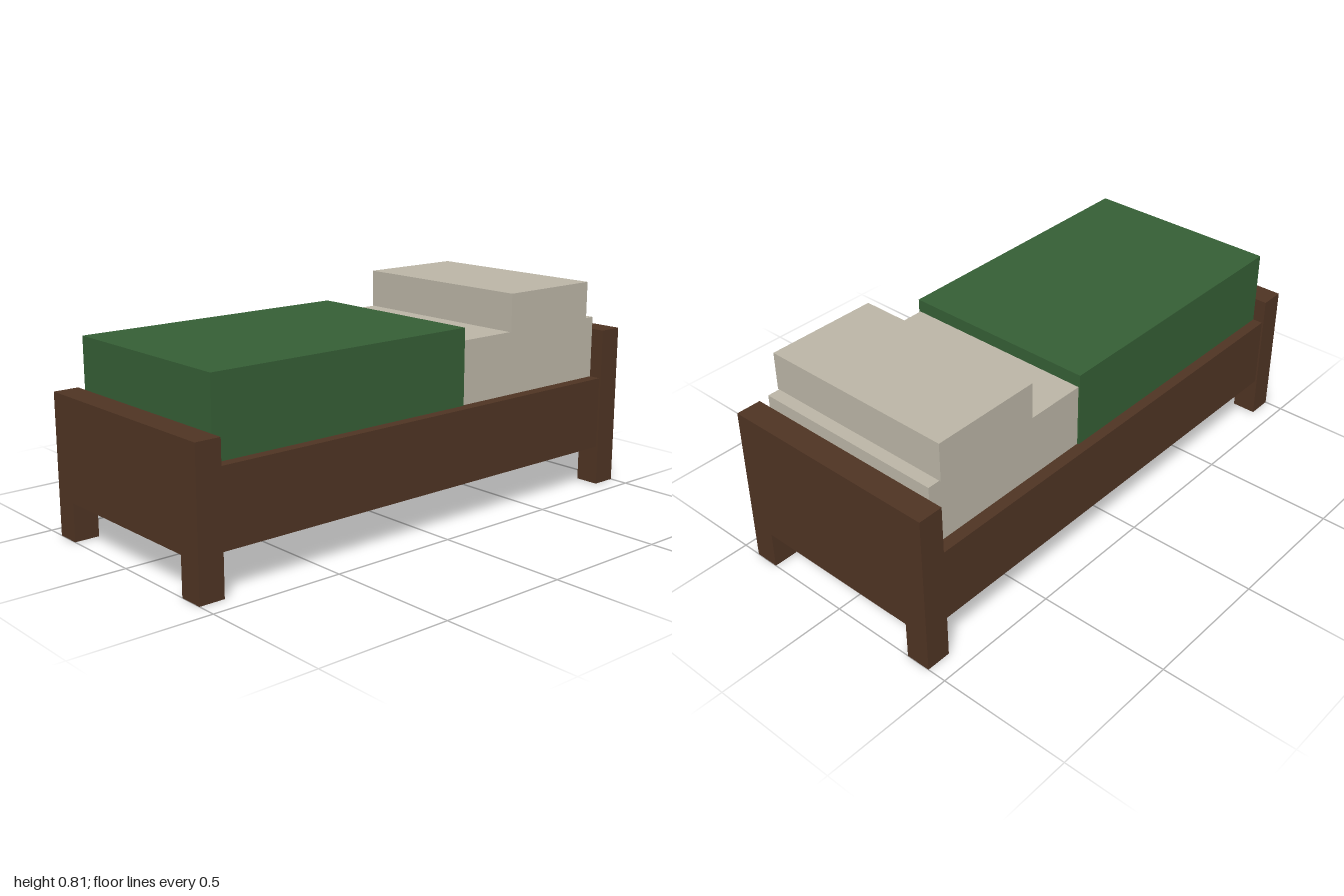
import * as THREE from 'three';

const wood = new THREE.MeshStandardMaterial({ name: 'dark wood', color: 0x4f3423 });
const green = new THREE.MeshStandardMaterial({ name: 'green blanket', color: 0x355e35 });
const linen = new THREE.MeshStandardMaterial({ name: 'linen', color: 0xbbb5a6 });

// Box given by half width, bottom and top, back and front
function box(name, material, halfWidth, y0, y1, z0, z1) {
  const mesh = new THREE.Mesh(new THREE.BoxGeometry(halfWidth * 2, y1 - y0, z1 - z0), material);
  mesh.position.set(0, (y0 + y1) / 2, (z0 + z1) / 2);
  mesh.name = name;
  return mesh;
}

// End board with two feet, cut from one outline
function endBoard(name, height, z0) {
  const w = 0.427, inner = 0.333, arch = 0.143;
  const outline = new THREE.Shape([
    [-w, 0], [-inner, 0], [-inner, arch], [inner, arch],
    [inner, 0], [w, 0], [w, height], [-w, height],
  ].map(([x, y]) => new THREE.Vector2(x, y)));
  const geometry = new THREE.ExtrudeGeometry(outline, { depth: 0.095, bevelEnabled: false });
  const mesh = new THREE.Mesh(geometry, wood);
  mesh.position.z = z0;
  mesh.name = name;
  return mesh;
}

export function createModel() {
  const bed = new THREE.Group();
  bed.name = 'bed';
  bed.add(
    endBoard('headboard', 0.62, -1),
    endBoard('footboard', 0.524, 0.905),
    box('bedBase', wood, 0.42, 0.152, 0.43, -0.905, 0.905),
    box('mattress', linen, 0.374, 0.43, 0.667, -0.905, 0.88),
    box('blanket', green, 0.38, 0.43, 0.715, -0.19, 0.905),
    box('pillow', linen, 0.38, 0.667, 0.81, -0.858, -0.432),
  );
  return bed;
}
